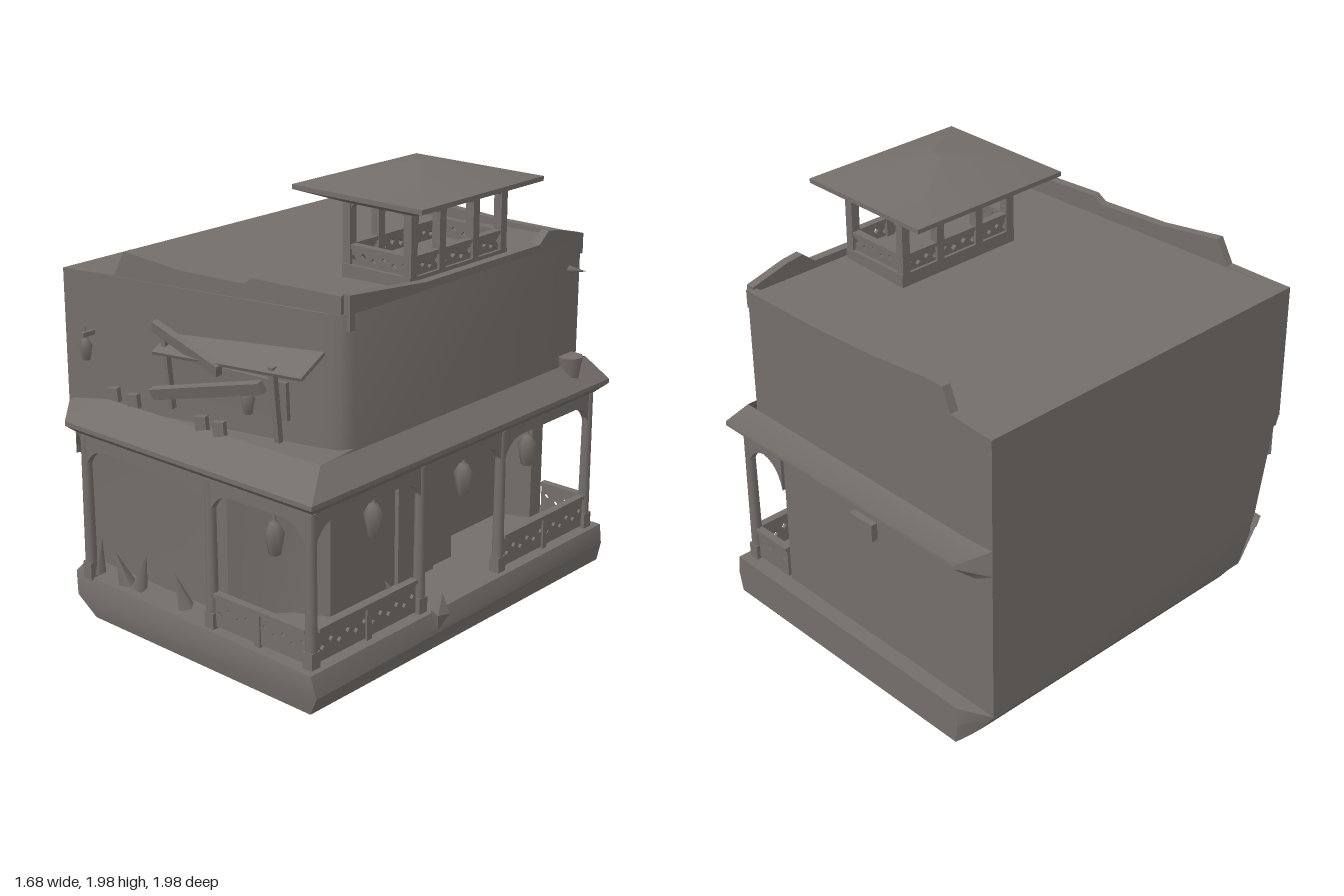
import * as THREE from 'three';
import { toCreasedNormals } from 'three/addons/utils/BufferGeometryUtils.js';

const timber = new THREE.MeshStandardMaterial({ color: 0x746e6a, side: THREE.DoubleSide });
timber.name = 'weatheredTimber';

export function createModel() {
  const root = new THREE.Group();
  root.name = 'balconyHouse';

  function add(name, geometry, x = 0, y = 0, z = 0, rx = 0, ry = 0, rz = 0, parent = root) {
    const mesh = new THREE.Mesh(geometry, timber);
    mesh.name = name;
    mesh.position.set(x, y, z);
    mesh.rotation.set(rx, ry, rz);
    parent.add(mesh);
    return mesh;
  }
  const box = (name, w, h, d, ...rest) => add(name, new THREE.BoxGeometry(w, h, d), ...rest);

  // Skin through stacked rings, counterclockwise seen from above, lowest first; caps optional
  function loft(name, rings, { bottom = true, top = true, crease = 0.6 } = {}) {
    const n = rings[0].length, index = [];
    for (let r = 0; r < rings.length - 1; r++) {
      for (let i = 0; i < n; i++) {
        const a = r * n + i, b = r * n + (i + 1) % n;
        index.push(a, b, b + n, a, b + n, a + n);
      }
    }
    const last = (rings.length - 1) * n;
    for (let i = 1; i < n - 1; i++) {
      if (bottom) index.push(0, i + 1, i);
      if (top) index.push(last, last + i, last + i + 1);
    }
    const g = new THREE.BufferGeometry();
    g.setAttribute('position', new THREE.Float32BufferAttribute(rings.flat(2), 3));
    g.setIndex(index);
    return add(name, toCreasedNormals(g, crease));
  }
  const ring = (pts, y) => pts.map(([x, z]) => [x, y, z]);

  // Flat upright panel running between two plan points
  function panel(name, shape, a, b, depth) {
    const g = new THREE.ExtrudeGeometry(shape, { depth, bevelEnabled: false, curveSegments: 6 });
    g.translate(0, 0, -depth / 2);
    return add(name, g, a[0], 0, a[1], 0, Math.atan2(a[1] - b[1], b[0] - a[0]), 0);
  }
  const span = (a, b) => Math.hypot(b[0] - a[0], b[1] - a[1]);

  // Arched beam between posts
  function arch(name, a, b, low, mid, high, reach) {
    const L = span(a, b), s = new THREE.Shape();
    s.moveTo(0, low);
    s.quadraticCurveTo(reach * 0.2, mid - 0.01, reach, mid);
    s.lineTo(L - reach, mid);
    s.quadraticCurveTo(L - reach * 0.2, mid - 0.01, L, low);
    s.lineTo(L, high);
    s.lineTo(0, high);
    panel(name, s, a, b, 0.03);
  }

  // Fretwork railing: plate pierced by diamonds, with a rail on top
  function railing(name, a, b, y0, y1) {
    const L = span(a, b), h = y1 - y0, n = Math.max(3, Math.round(L / 0.05)), w = L / n;
    const s = new THREE.Shape();
    s.moveTo(0, y0); s.lineTo(L, y0); s.lineTo(L, y1); s.lineTo(0, y1);
    for (let i = 0; i < n; i++) {
      const cx = (i + 0.5) * w, cy = y0 + h * (i % 2 ? 0.58 : 0.42), r = w * 0.28;
      const hole = new THREE.Path();
      hole.moveTo(cx - r, cy); hole.lineTo(cx, cy + r); hole.lineTo(cx + r, cy); hole.lineTo(cx, cy - r);
      s.holes.push(hole);
    }
    const mesh = panel(name, s, a, b, 0.014);
    box('handrail', L, 0.018, 0.035, L / 2, y1, 0, 0, 0, 0, mesh);
  }

  // Plinth, undercut on the left and at the front left corner
  const plinthTop = [[-0.69, 0.94], [0.73, 0.99], [0.73, -0.99], [-0.71, -0.99], [-0.85, -0.92], [-0.85, 0.6]];
  const plinthMid = [[-0.65, 0.97], [0.76, 0.99], [0.74, -0.99], [-0.71, -0.99], [-0.79, -0.92], [-0.79, 0.54]];
  const plinthFoot = [[-0.56, 0.95], [0.71, 0.97], [0.72, -0.99], [-0.7, -0.99], [-0.71, -0.92], [-0.71, 0.46]];
  loft('plinth', [ring(plinthFoot, 0), ring(plinthMid, 0.09), ring(plinthTop, 0.18)]);

  // Ground floor walls, set back on the porch side, leaning in at the front left corner
  const porchWall = [[0.12, 0.82], [0.3, 0.62], [0.44, 0.55], [0.44, -0.25], [0.3, -0.3], [0.3, -0.78],
    [0.44, -0.84], [0.44, -0.92], [-0.85, -0.92]];
  loft('groundFloor', [ring([[-0.85, 0.59], [-0.74, 0.8], ...porchWall], 0.17),
    ring([[-0.85, 0.68], [-0.74, 0.81], ...porchWall], 0.4),
    ring([[-0.85, 0.78], [-0.74, 0.83], ...porchWall], 0.88)], { bottom: false, top: false });
  box('sideDoor', 0.03, 0.54, 0.24, 0.445, 0.45, 0.02);
  box('backVent', 0.14, 0.08, 0.06, -0.1, 0.74, -0.92);

  // Porch roof around front, right and back
  const eave = [[-0.66, 0.99], [0.74, 0.99], [0.74, -0.99], [-0.71, -0.99], [-0.85, -0.92], [-0.85, 0.8]];
  const soffit = [[-0.62, 0.92], [0.68, 0.92], [0.68, -0.93], [-0.71, -0.93], [-0.85, -0.9], [-0.85, 0.78]];
  const head = [[-0.52, 0.87], [0.65, 0.84], [0.65, -0.93], [-0.71, -0.93], [-0.85, -0.92], [-0.85, 0.79]];
  loft('porchRoof', [ring(soffit, 0.815), ring(eave, 0.87), ring(eave, 0.89),
    head.map(([x, z], i) => [x, i === 5 ? 0.9 : 0.99, z])], { top: false });

  // Shelf that closes the porch roof against the front wall
  loft('frontShelf', [[[-0.85, 0.9, 0.79], [-0.52, 0.99, 0.87], [0.65, 0.99, 0.84], [0.63, 0.99, 0.62]]], { bottom: false });

  // Upper floor with gently sloping flat roof
  const upper = [[-0.85, 0.8], [-0.5, 0.77], [0.5, 0.69], [0.6, 0.67], [0.63, 0.62], [0.63, -0.88], [0.6, -0.92], [-0.85, -0.92]];
  loft('upperFloor', [ring(upper, 0.86), upper.map(([x, z]) => [x, 1.515 + x * 0.035, z])], { bottom: false, crease: 0.9 });

  // Parapets, as stepped outlines
  function parapet(name, a, b, tops) {
    const s = new THREE.Shape();
    s.moveTo(0, 1.47);
    s.lineTo(span(a, b), 1.47);
    tops.forEach(([t, y]) => s.lineTo(t * span(a, b), y));
    panel(name, s, a, b, 0.04);
  }
  parapet('frontParapet', [-0.83, 0.778], [0.6, 0.65],
    [[1, 1.61], [0.7, 1.61], [0.67, 1.58], [0.44, 1.58], [0.23, 1.61], [0.19, 1.5], [0, 1.485]]);
  parapet('rightParapet', [0.61, 0.65], [0.61, -0.9],
    [[1, 1.56], [0.88, 1.61], [0.83, 1.62], [0.79, 1.57], [0.3, 1.57], [0, 1.615]]);
  parapet('backParapet', [-0.83, -0.9], [0.61, -0.9],
    [[1, 1.55], [0.7, 1.55], [0.44, 1.57], [0.24, 1.6], [0.17, 1.6], [0.14, 1.5], [0, 1.485]]);

  // Porch posts, arches and railings
  const front = [[-0.82, 0.78], [-0.6, 0.93], [0.14, 0.93], [0.68, 0.93]];
  const side = [[0.68, 0.93], [0.68, 0.27], [0.68, -0.27], [0.68, -0.92]];
  const back = [[0.68, -0.92], [0.44, -0.92]];
  for (const row of [front, side, back]) {
    for (let i = 0; i < row.length - 1; i++) arch('porchArch', row[i], row[i + 1], 0.65, 0.78, 0.84, 0.12);
  }
  const post = new THREE.CylinderGeometry(0.022, 0.026, 0.66, 8);
  [...front.slice(1), ...side.slice(1)].forEach(([x, z]) => {
    add('porchPost', post, x, 0.5, z);
    box('postFoot', 0.05, 0.08, 0.05, x, 0.21, z);
  });
  railing('frontRailing', [0.16, 0.93], [0.66, 0.93], 0.19, 0.33);
  railing('sideRailing', [0.68, 0.9], [0.68, 0.3], 0.19, 0.33);
  railing('sideRailing', [0.68, -0.3], [0.68, -0.9], 0.19, 0.33);
  railing('backRailing', [0.66, -0.92], [0.45, -0.92], 0.19, 0.33);
  box('railingPost', 0.03, 0.16, 0.03, 0.4, 0.26, 0.93);
  for (const z of [0.6, -0.6]) box('railingPost', 0.03, 0.16, 0.03, 0.68, 0.26, z);

  // Lanterns hanging from the porch and on the upper front wall
  const lanternGeo = new THREE.LatheGeometry([[0, -0.08], [0.025, -0.075], [0.042, 0.02], [0.02, 0.06], [0.006, 0.07],
    [0.006, 0.13]].map(([r, y]) => new THREE.Vector2(r, y)), 6);
  [[0.49, 0.93], [0.66, 0.54], [0.66, -0.04], [0.66, -0.49]].forEach(([x, z]) => add('porchLantern', lanternGeo, x, 0.68, z));
  [[-0.69, 1.17, 0.83], [0.25, 1.15, 0.82]].forEach((p) => {
    add('wallLantern', lanternGeo, ...p).scale.setScalar(0.7);
    box('lanternBracket', 0.02, 0.02, 0.12, p[0], p[1] + 0.06, p[2] - 0.04);
  });

  // Broken balcony on the upper front
  box('balconyBoard', 0.62, 0.16, 0.02, 0.07, 1.15, 0.75, 0.05, 0.07, 0);
  box('balconyAwning', 0.8, 0.015, 0.16, 0.14, 1.31, 0.77, 0.45, 0.06, 0.05);
  box('fallenPlank', 0.62, 0.05, 0.03, 0.08, 1.17, 0.88, 0.3, 0.1, 0.24);
  box('fallenPlank', 0.4, 0.05, 0.03, -0.08, 1.3, 0.83, 0.2, -0.1, -0.25);
  for (const x of [-0.5, -0.38, 0.02, 0.12]) box('balconyStump', 0.05, 0.06, 0.03, x, 1.01, 0.85, 0, 0.3, 0.1);
  for (const x of [-0.22, 0.38]) box('balconyPost', 0.025, 0.32, 0.025, x, 1.16, 0.8, 0.1, 0, 0);

  // Dry scrub and loose splinters
  const shard = new THREE.ConeGeometry(0.04, 0.16, 4);
  [[-0.44, 0.25, 0.9, 0.3], [-0.33, 0.26, 0.88, -0.2], [-0.08, 0.26, 0.9, 0.2], [-0.58, 0.27, 0.9, -0.2],
    [0.6, 0.26, 0.34, 0.3]].forEach(([x, y, z, t]) => add('scrub', shard, x, y, z, t, x, t));
  add('looseShard', new THREE.OctahedronGeometry(0.05), 0.8, 0.22, 0.28, 0, 0.5, -0.1).scale.set(0.8, 1.8, 0.8);
  add('splinter', new THREE.ConeGeometry(0.02, 0.1, 4), 0.67, 1.42, -0.8, 0, 0, -1.5);
  add('sidePot', new THREE.CylinderGeometry(0.06, 0.04, 0.12, 7), 0.66, 0.97, -0.79);

  // Rooftop lookout
  const xs = [0.235, 0.555], zs = [0.2, 0.02, -0.2, -0.39];
  box('lookoutFloor', 0.36, 0.06, 0.64, 0.395, 1.55, -0.095);
  for (const x of xs) {
    zs.forEach((z) => box('lookoutPost', 0.04, 0.32, 0.04, x, 1.72, z));
    for (let i = 0; i < 3; i++) {
      arch('lookoutArch', [x, zs[i]], [x, zs[i + 1]], 1.77, 1.845, 1.87, 0.07);
      railing('lookoutRailing', [x, zs[i]], [x, zs[i + 1]], 1.57, 1.655);
    }
  }
  for (const z of [zs[0], zs[3]]) {
    arch('lookoutArch', [xs[0], z], [xs[1], z], 1.77, 1.845, 1.87, 0.07);
    railing('lookoutRailing', [xs[0], z], [xs[1], z], 1.57, 1.655);
  }
  const rect = (x0, x1, z0, z1) => [[x0, z1], [x1, z1], [x1, z0], [x0, z0]];
  loft('lookoutRoof', [ring(rect(0.22, 0.58, -0.41, 0.22), 1.835), ring(rect(0.01, 0.69, -0.5, 0.3), 1.87),
    ring(rect(0.01, 0.69, -0.5, 0.3), 1.89), ring(rect(0.34, 0.38, -0.1, -0.06), 1.98)]);

  return root;
}
